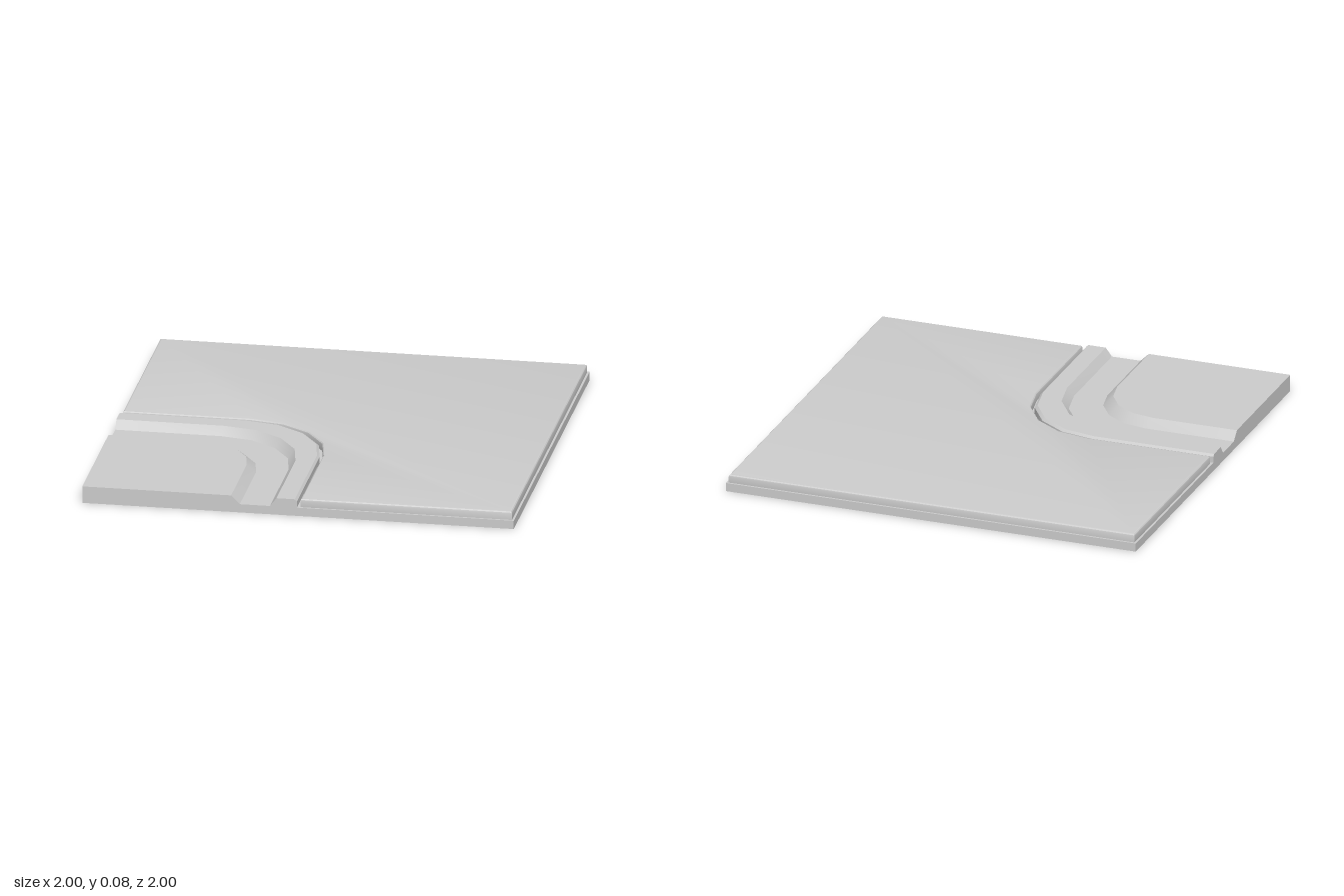
import * as THREE from 'three';
import { toCreasedNormals } from 'three/addons/utils/BufferGeometryUtils.js';

const CREASE = 0.5;
const grey = new THREE.MeshStandardMaterial({ color: 0xcccccc });

// Path round the street corner: d = distance from the centre lines, r = corner radius, e = end coordinate
function cornerPath(d, r, e = 1) {
  const points = [[-e, d]];
  for (let k = 0; k <= 4; k++) {
    const t = (k / 4) * Math.PI / 2;
    points.push([-d - r + r * Math.sin(t), d + r - r * Math.cos(t)]);
  }
  points.push([-d, e]);
  return points;
}

// Sweeps a convex profile of [distance, height, radius] round the corner and caps both ends
function sweepCorner(profile) {
  const paths = profile.map(([d, , r]) => cornerPath(d, r));
  const n = paths[0].length;
  const positions = [], index = [];
  paths.forEach((path, i) => path.forEach(([x, z]) => positions.push(x, profile[i][1], z)));
  const id = (i, j) => i * n + j;
  for (let i = 0; i < profile.length - 1; i++) {
    for (let j = 0; j < n - 1; j++) {
      const a = id(i, j), b = id(i, j + 1), c = id(i + 1, j + 1), d = id(i + 1, j);
      index.push(a, d, c, a, c, b);
    }
  }
  for (let i = 1; i < profile.length - 1; i++) {
    index.push(id(0, 0), id(i + 1, 0), id(i, 0));
    index.push(id(0, n - 1), id(i, n - 1), id(i + 1, n - 1));
  }
  const geometry = new THREE.BufferGeometry();
  geometry.setAttribute('position', new THREE.Float32BufferAttribute(positions, 3));
  geometry.setIndex(index);
  return toCreasedNormals(geometry, CREASE);
}

export function createModel() {
  const model = new THREE.Group();
  const add = (name, geometry) => {
    const mesh = new THREE.Mesh(geometry, grey);
    mesh.name = name;
    model.add(mesh);
  };

  // Square base, whose top is also the gutter bed
  add('base', new THREE.BoxGeometry(2, 0.04, 2).translate(0, 0.02, 0));

  // L-shaped pavement slab with rounded top edges, its foot sunk into the base
  const edge = 0.99, bevel = 0.012;
  const outline = [...cornerPath(-0.01, 0.41, edge), [edge, edge], [edge, -edge], [-edge, -edge]];
  const slab = new THREE.ExtrudeGeometry(new THREE.Shape(outline.map(([x, z]) => new THREE.Vector2(x, z))), {
    depth: 0.04, bevelThickness: bevel, bevelSize: bevel, bevelOffset: -bevel, bevelSegments: 3,
  });
  slab.rotateX(Math.PI / 2).translate(0, 0.08 - bevel, 0);
  add('pavement', toCreasedNormals(slab, CREASE));

  // Kerb following the bend, sloping down to the gutter
  add('kerb', sweepCorner([
    [0.005, 0.04, 0.4], [0.005, 0.07, 0.4], [0.015, 0.08, 0.4], [0.10, 0.08, 0.4], [0.13, 0.04, 0.38],
  ]));

  // Raised road surface filling the inside corner
  add('road', sweepCorner([
    [0.27, 0.04, 0.3], [0.31, 0.08, 0.28], [1, 0.08, 0], [1, 0.04, 0],
  ]));

  return model;
}
